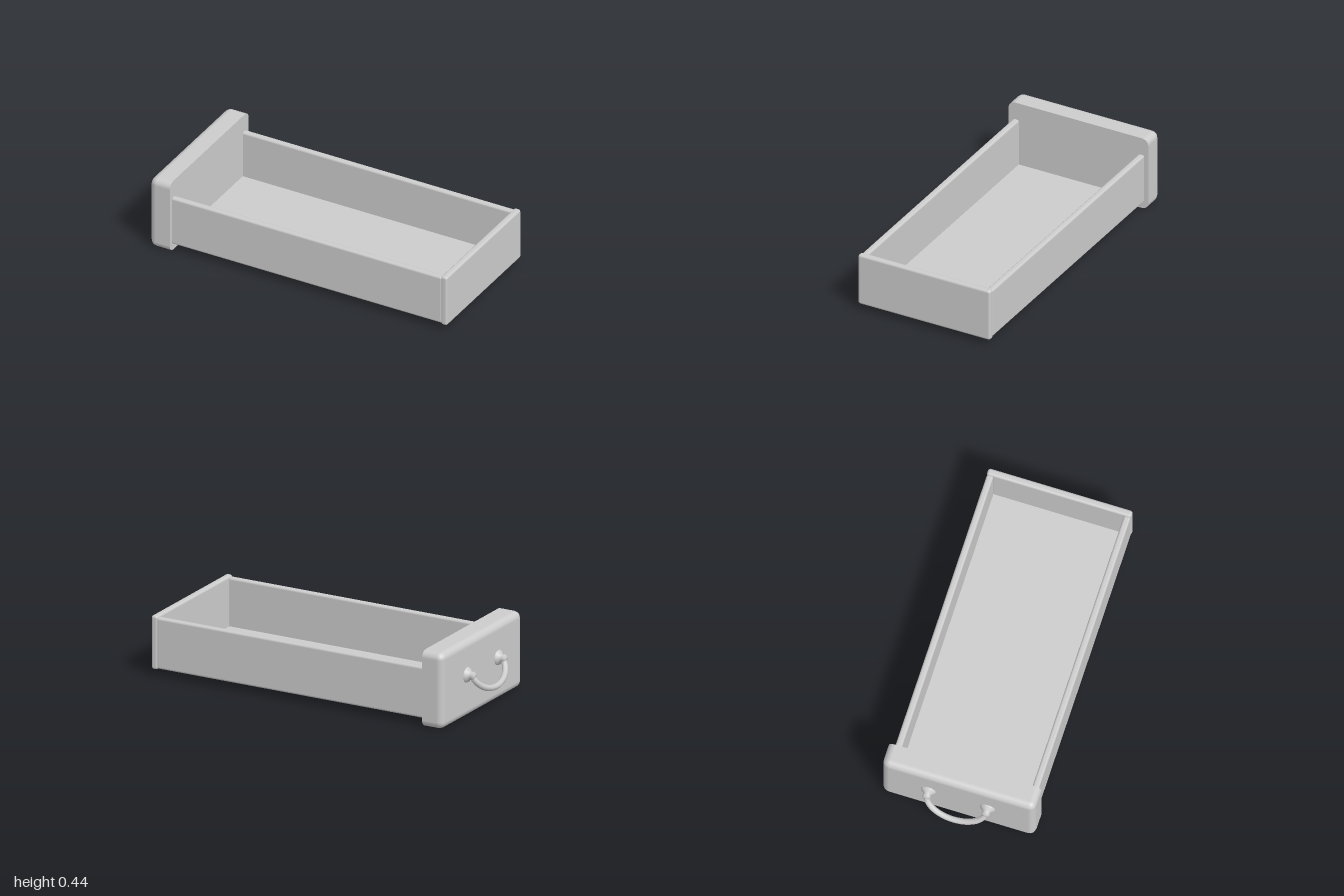
import * as THREE from 'three';
import { RoundedBoxGeometry } from 'three/addons/geometries/RoundedBoxGeometry.js';

const grey = new THREE.MeshStandardMaterial({ color: 0xcccccc });
grey.name = 'plain grey';

function add(parent, name, geometry, x = 0, y = 0, z = 0) {
  const mesh = new THREE.Mesh(geometry, grey);
  mesh.name = name;
  mesh.position.set(x, y, z);
  parent.add(mesh);
  return mesh;
}

// Box given by its limits, with softened edges
function board(parent, name, [x0, x1], [y0, y1], [z0, z1], radius) {
  const geometry = new RoundedBoxGeometry(x1 - x0, y1 - y0, z1 - z0, 2, radius);
  return add(parent, name, geometry, (x0 + x1) / 2, (y0 + y1) / 2, (z0 + z1) / 2);
}

// Squash the rounded edge on the +x side into a flat, sharp-edged face
function flattenInnerFace(geometry, limit) {
  const pos = geometry.attributes.position, normal = geometry.attributes.normal;
  for (let i = 0; i < pos.count; i += 3) {
    let clamped = 0;
    for (let j = i; j < i + 3; j++) {
      if (pos.getX(j) > limit - 1e-4) {
        pos.setX(j, limit);
        clamped++;
      }
    }
    if (clamped === 3) for (let j = i; j < i + 3; j++) normal.setXYZ(j, 1, 0, 0);
  }
}

export function createModel() {
  const model = new THREE.Group();
  model.name = 'drawer';

  // The drawer lies at an angle; local x runs from its face to its back
  const drawer = new THREE.Group();
  drawer.name = 'drawerBody';
  drawer.rotation.y = THREE.MathUtils.degToRad(20);
  drawer.position.set(-0.004, 0, -0.012);
  model.add(drawer);

  // Thick face panel, rounded outside and flat inside
  const r = 0.04, faceOut = -0.915, faceIn = -0.786;
  const face = board(drawer, 'facePanel', [faceOut, faceIn + r], [0, 0.435], [-0.434, 0.434], r);
  flattenInnerFace(face.geometry, faceIn - face.position.x);

  // Tray
  for (const s of [-1, 1]) {
    const z = [s * 0.408, s * 0.37].sort((a, b) => a - b);
    board(drawer, s < 0 ? 'rightWall' : 'leftWall', [-0.8, 0.888], [0.04, 0.332], z, 0.013);
  }
  board(drawer, 'backWall', [0.88, 0.92], [0.034, 0.341], [-0.41, 0.41], 0.014);
  add(drawer, 'floor', new THREE.BoxGeometry(1.69, 0.014, 0.77), 0.045, 0.048, 0);

  // Handle: two flared posts and a hanging bail
  const handle = new THREE.Group();
  handle.name = 'handle';
  drawer.add(handle);
  const span = 0.168, postY = 0.243;
  const profile = [[0.043, 0], [0.04, 0.008], [0.026, 0.018], [0.02, 0.028],
    [0.024, 0.038], [0.018, 0.048], [0, 0.052]].map(([a, b]) => new THREE.Vector2(a, b));
  for (const s of [-1, 1]) {
    const post = add(handle, 'handlePost', new THREE.LatheGeometry(profile, 16), faceOut, postY, s * span);
    post.rotation.z = Math.PI / 2;
  }
  const points = [];
  for (let i = 0; i <= 10; i++) {
    const a = (i / 10) * Math.PI, drop = Math.sin(a);
    points.push(new THREE.Vector3(-0.943 - 0.057 * drop, postY - 0.1 * drop, -span * Math.cos(a)));
  }
  add(handle, 'handleBail', new THREE.TubeGeometry(new THREE.CatmullRomCurve3(points), 20, 0.017, 10));

  return model;
}
